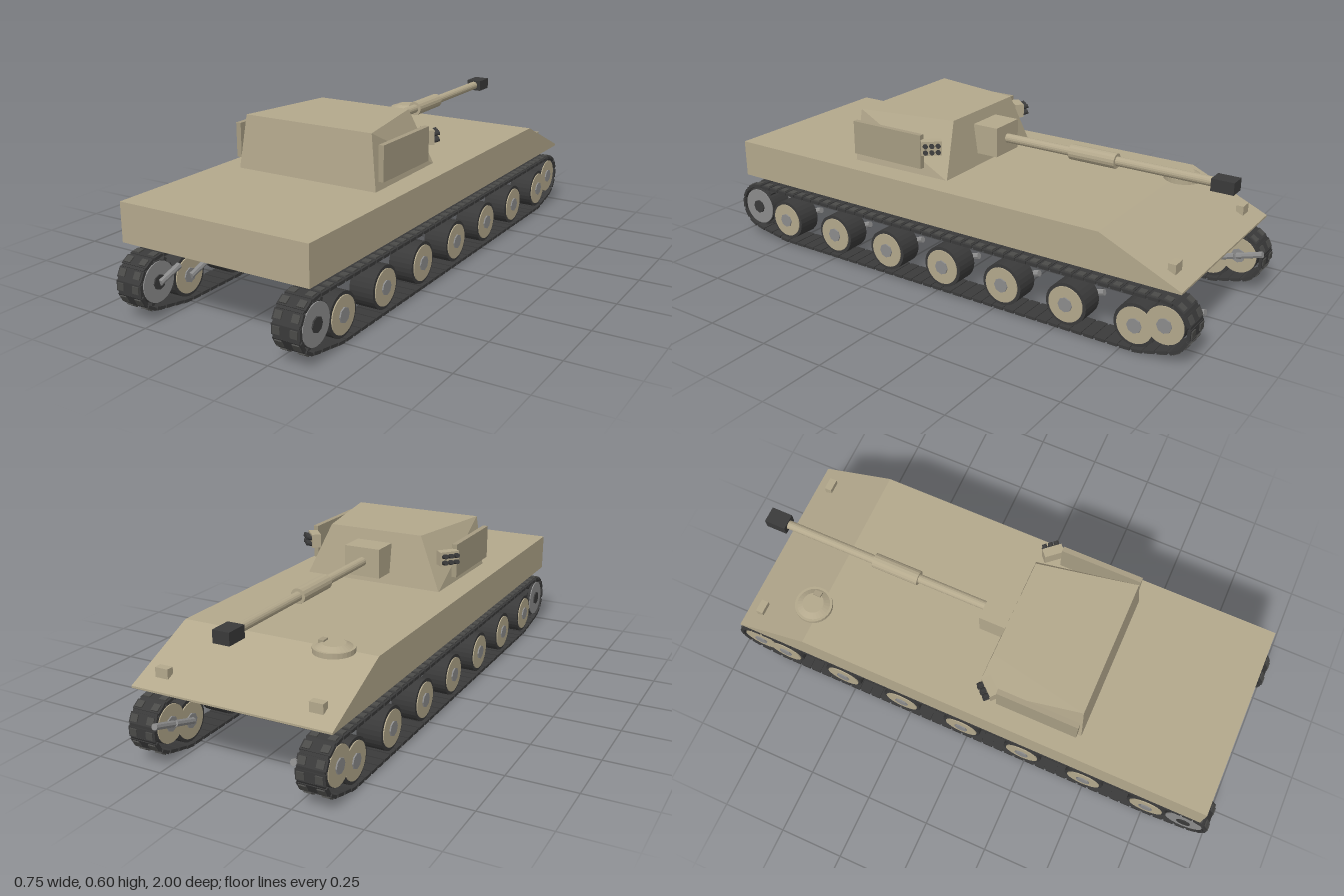
import * as THREE from 'three';
import { mergeGeometries } from 'three/addons/utils/BufferGeometryUtils.js';
import { ConvexGeometry } from 'three/addons/geometries/ConvexGeometry.js';

const mat = (color) => new THREE.MeshStandardMaterial({ color, flatShading: true });
const TAN = mat(0xb3a88c), PLATE = mat(0xa69c82), DARK = mat(0x3a3a3a), RUBBER = mat(0x4a4a48), STEEL = mat(0x8c8c8c);

function add(parent, name, geo, material, x = 0, y = 0, z = 0) {
  const m = new THREE.Mesh(geo, material);
  m.name = name;
  m.position.set(x, y, z);
  parent.add(m);
  return m;
}
const box = (w, h, d) => new THREE.BoxGeometry(w, h, d);
const cylX = (r, len, n = 24) => new THREE.CylinderGeometry(r, r, len, n).rotateZ(Math.PI / 2);
const cylZ = (r, len, n = 16) => new THREE.CylinderGeometry(r, r, len, n).rotateX(Math.PI / 2);

// Hull: side profile extruded across the width; the nose points to -z
function buildHull(root) {
  const shape = new THREE.Shape([[-0.95, 0.26], [0.96, 0.26], [0.96, 0.267], [0.66, 0.402], [-0.95, 0.402]]
    .map(([x, y]) => new THREE.Vector2(x, y)));
  const geo = new THREE.ExtrudeGeometry(shape, { depth: 0.75, bevelEnabled: false });
  geo.translate(0, 0, -0.375).rotateY(Math.PI / 2);
  add(root, 'hull', geo, TAN);

  for (const s of [-1, 1]) add(root, 'headlight', box(0.05, 0.035, 0.028), TAN, s * 0.29, 0.308, -0.895);

  const hatch = new THREE.Group();
  hatch.name = 'driverHatch';
  hatch.position.set(-0.227, 0.4, -0.685);
  add(hatch, 'hatchRing', new THREE.CylinderGeometry(0.071, 0.071, 0.018, 28), TAN, 0, 0.01, 0);
  add(hatch, 'hatchLid', new THREE.CylinderGeometry(0.04, 0.062, 0.012, 28), TAN, 0, 0.025, 0);
  add(hatch, 'hatchPeriscope', box(0.02, 0.014, 0.03), PLATE, 0.04, 0.03, 0);
  root.add(hatch);
}

function buildTurret(root) {
  const turret = new THREE.Group();
  turret.name = 'turret';
  const corners = [];
  for (const s of [-1, 1]) {
    for (const [x, y, z] of [[0.288, 0.4, 0.434], [0.28, 0.4, 0.012], [0.262, 0.6, 0.418], [0.19, 0.6, 0.043]]) {
      corners.push(new THREE.Vector3(s * x, y, z));
    }
  }
  add(turret, 'turretBody', new ConvexGeometry(corners), TAN);

  for (const s of [-1, 1]) {
    add(turret, 'sideArmourPlate', box(0.02, 0.128, 0.313), PLATE, s * 0.3, 0.501, 0.263);
    // Smoke launcher: angled box with two rows of three tubes
    const launcher = new THREE.Group();
    launcher.name = 'smokeLauncher';
    launcher.position.set(s * 0.287, 0.521, 0.074);
    launcher.rotation.y = -s * 0.85;
    add(launcher, 'launcherBox', box(0.075, 0.053, 0.035), TAN);
    for (let i = -1; i <= 1; i++) {
      for (const j of [-1, 1]) {
        add(launcher, 'launcherTube', cylZ(0.009, 0.025, 10), DARK, i * 0.023, j * 0.012, -0.026).rotation.x = 0.25;
      }
    }
    turret.add(launcher);
  }

  // Gun
  add(turret, 'mantlet', box(0.144, 0.112, 0.11), TAN, 0, 0.502, -0.012);
  add(turret, 'barrel', cylZ(0.017, 0.86), TAN, 0, 0.503, -0.48);
  add(turret, 'barrelSleeve', cylZ(0.028, 0.184), TAN, 0, 0.503, -0.436);
  add(turret, 'muzzleBrake', box(0.062, 0.044, 0.082), DARK, 0, 0.503, -0.932);
  root.add(turret);
}

// Track centreline in (z, y): outline wrapped around four circles
function trackPoints(count) {
  const circles = [[0.9, 0.125, 0.09], [-0.9, 0.125, 0.09], [0.755, 0.1, 0.09], [-0.8, 0.1, 0.09]];
  const pts = [];
  for (let i = 0; i <= 720; i++) {
    const a = (i / 720) * Math.PI * 2, c = Math.cos(a), s = Math.sin(a);
    const reach = ([z, y, r]) => z * c + y * s + r;
    const [z, y, r] = circles.reduce((p, q) => (reach(q) > reach(p) ? q : p));
    pts.push(new THREE.Vector2(z + r * c, y + r * s));
  }
  return new THREE.Path(pts).getSpacedPoints(count).slice(0, count);
}

function trackGeometries() {
  const n = 92, pts = trackPoints(n), links = [], pads = [];
  pts.forEach((p, i) => {
    const a = pts[(i + n - 1) % n], b = pts[(i + 1) % n];
    const t = b.clone().sub(a);
    // Local y faces outward, local z runs along the track
    const angle = Math.atan2(-t.y, t.x);
    const place = (g) => g.rotateX(angle + Math.PI).translate(0, p.y, p.x);
    links.push(place(box(0.107, 0.011, 0.037)));
    links.push(place(box(0.099, 0.006, 0.012).translate(0, 0, 0.023)));
    for (const s of [-1, 1]) pads.push(place(box(0.027, 0.006, 0.026).translate(s * 0.0325, 0.007, 0)));
  });
  return [mergeGeometries(links), mergeGeometries(pads)];
}

// Wheel with dark tyre, coloured discs on both faces and a hub
function buildWheel(parent, name, z, y, r, discR, disc, hub) {
  const wheel = new THREE.Group();
  wheel.name = name;
  wheel.position.set(0, y, z);
  add(wheel, 'tyre', cylX(r, 0.092, 28), DARK);
  add(wheel, 'wheelDisc', cylX(discR, 0.1, 28), disc);
  add(wheel, 'hub', cylX(0.027, 0.11, 8), hub);
  // Swing arm on the inner side, trailing forward and up
  const arm = add(wheel, 'swingArm', new THREE.CylinderGeometry(0.012, 0.012, 0.1, 8), STEEL, -0.056, 0.014, -0.045);
  arm.rotation.x = -1.27;
  parent.add(wheel);
}

function buildRunningGear(root) {
  const [linkGeo, padGeo] = trackGeometries();
  for (const s of [-1, 1]) {
    const side = new THREE.Group();
    side.name = s > 0 ? 'leftRunningGear' : 'rightRunningGear';
    side.position.x = s * 0.3165;
    if (s < 0) side.rotation.y = 0;
    add(side, 'trackLinks', linkGeo, DARK);
    add(side, 'trackPads', padGeo, RUBBER);
    const wheels = new THREE.Group();
    wheels.name = 'wheels';
    wheels.scale.x = s;
    for (let i = 0; i < 7; i++) buildWheel(wheels, 'roadWheel', 0.755 - i * 0.2592, 0.1, 0.078, 0.066, TAN, STEEL);
    buildWheel(wheels, 'idlerWheel', -0.905, 0.132, 0.07, 0.068, TAN, STEEL);
    buildWheel(wheels, 'driveSprocket', 0.905, 0.127, 0.074, 0.072, STEEL, DARK);
    // Sprocket teeth
    for (let i = 0; i < 14; i++) {
      const a = (i / 14) * Math.PI * 2;
      const tooth = add(wheels, 'sprocketTooth', box(0.07, 0.016, 0.014), DARK,
        0, 0.127 + Math.sin(a) * 0.077, 0.905 + Math.cos(a) * 0.077);
      tooth.rotation.x = Math.PI / 2 - a;
    }
    side.add(wheels);
    root.add(side);
  }
}

export function createModel() {
  const root = new THREE.Group();
  root.name = 'trackedVehicle';
  buildHull(root);
  buildTurret(root);
  buildRunningGear(root);
  return root;
}
